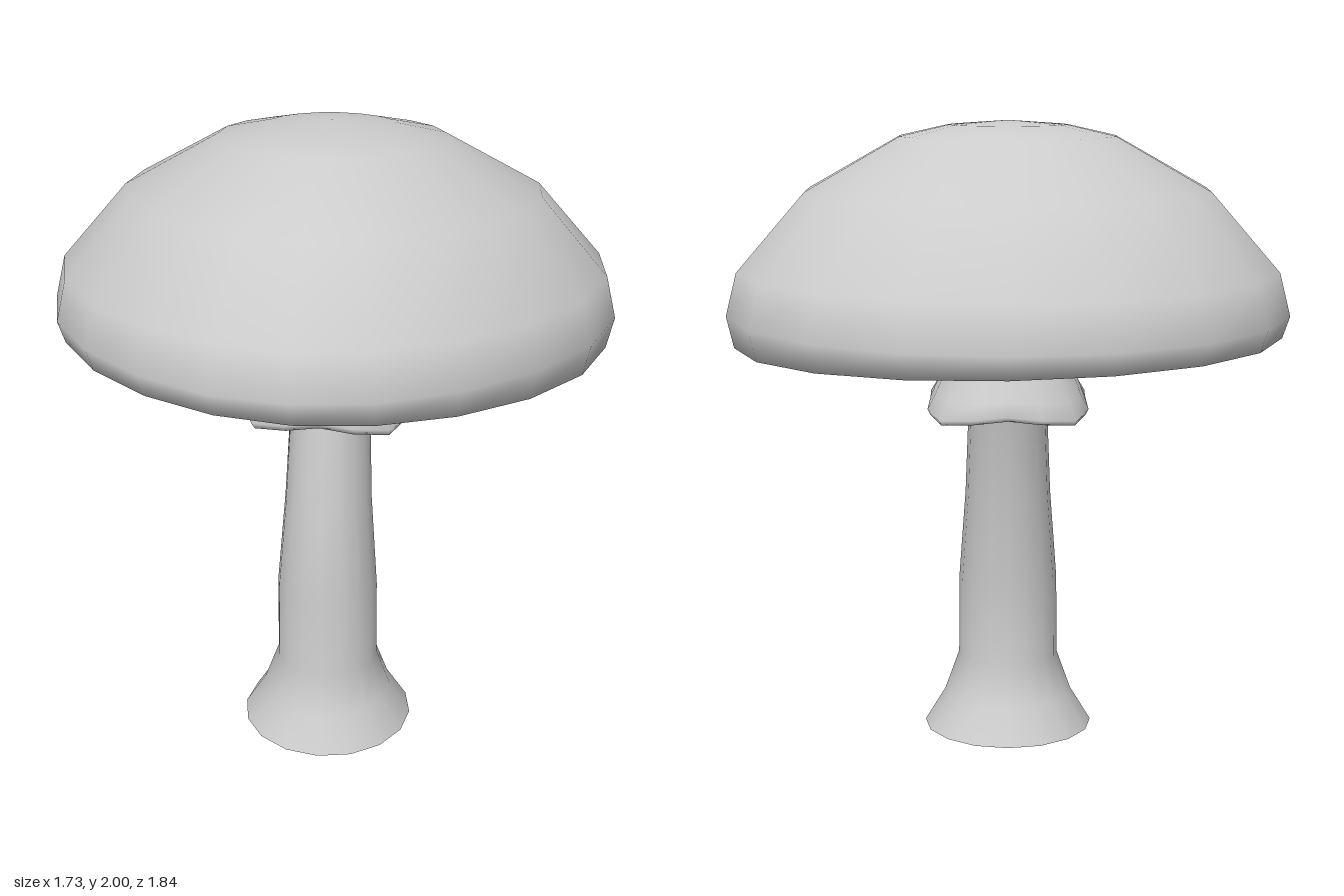
import * as THREE from 'three';

// Smooth surface through closed rings; each ring goes counter-clockwise seen from above.
function loft(name, rings, sides, place, doubleSided = false) {
  const pos = [], index = [];
  for (const ring of rings) {
    for (let j = 0; j < sides; j++) pos.push(...place(ring, (j / sides) * Math.PI * 2));
  }
  for (let i = 0; i < rings.length - 1; i++) {
    for (let j = 0; j < sides; j++) {
      const k = (j + 1) % sides;
      const a = i * sides + j, b = i * sides + k, c = a + sides, d = b + sides;
      if (rings[i].r !== 0) index.push(a, b, d);
      if (rings[i + 1].r !== 0) index.push(a, d, c);
    }
  }
  const geo = new THREE.BufferGeometry();
  geo.setAttribute('position', new THREE.Float32BufferAttribute(pos, 3));
  geo.setIndex(index);
  geo.computeVertexNormals();
  // A pole has several coincident vertices: give them one shared normal.
  rings.forEach((ring, i) => {
    if (ring.r !== 0) return;
    const up = i === 0 ? -1 : 1;
    for (let j = 0; j < sides; j++) geo.attributes.normal.setXYZ(i * sides + j, 0, up, 0);
  });
  const mesh = new THREE.Mesh(geo, new THREE.MeshStandardMaterial({
    color: 0xcccccc,
    side: doubleSided ? THREE.DoubleSide : THREE.FrontSide,
  }));
  mesh.name = name;
  return mesh;
}

export function createModel() {
  const group = new THREE.Group();
  group.name = 'mushroom';

  // Cap: egg-shaped outline, tilted up at the front, slightly hollow underneath
  const cap = [
    [0, 1.455], [0.45, 1.435], [0.9, 1.365], [0.975, 1.342], [1, 1.425],
    [0.962, 1.555], [0.725, 1.79], [0.39, 1.953], [0.215, 1.987], [0, 2],
  ].map(([r, y]) => ({ r, y }));
  group.add(loft('cap', cap, 20, ({ r, y }, a) => {
    const s = Math.sin(a), c = Math.cos(a);
    const x = 0.866 * r * s * (1 - 0.135 * c - 0.06 * c * c);
    const z = r * (0.92 * c + 0.04 * s * s);
    // The rim sags towards the left and lifts at front and back
    const sag = r > 0.8 && y < 1.4 ? 0.02 * z * z - 0.018 * x : 0;
    return [x, y + 0.072 * z + sag, z];
  }));

  // Stem: flared open foot, leaning backwards towards the cap
  const stem = [
    [0, 0.28, 0.28, 0.13], [0.11, 0.212, 0.215, 0.133], [0.24, 0.165, 0.167, 0.135],
    [0.5, 0.163, 0.172, 0.132], [0.8, 0.14, 0.156, 0.1], [1.1, 0.127, 0.155, 0.045],
    [1.3, 0.12, 0.156, 0], [1.46, 0.118, 0.155, -0.02],
  ].map(([y, r, rz, z]) => ({ y, r, rz, z }));
  group.add(loft('stem', stem, 16, ({ y, r, rz, z }, a) =>
    [r * Math.sin(a), y, z + rz * Math.cos(a)], true));

  // Collar: skirt with four soft drooping corners, from its inner face over the rim to the top
  const collar = [
    [1.28, 0.118, 0.152, 0.01, 0, 0], [1.135, 0.21, 0.25, 0.03, 0.03, 0.16],
    [1.118, 0.242, 0.298, 0.033, 0.03, 0.2], [1.137, 0.25, 0.316, 0.035, 0.035, 0.2],
    [1.175, 0.232, 0.3, 0.035, 0.028, 0.14], [1.32, 0.168, 0.2, 0.02, 0.015, 0.03],
    [1.385, 0.125, 0.162, -0.01, 0.03, 0],
  ].map(([y, r, rz, z, tilt, corner]) => ({ y, r, rz, z, tilt, corner }));
  group.add(loft('collar', collar, 16, ({ y, r, rz, z, tilt, corner }, a) => {
    const s = Math.sin(a), c = Math.cos(a);
    const bulge = corner * Math.sin(2 * a) ** 2;
    return [r * s * (1 + bulge), y + tilt * c - 0.12 * bulge - 0.06 * corner * s * s, z + rz * c * (1 + 0.7 * bulge)];
  }, true));

  return group;
}
